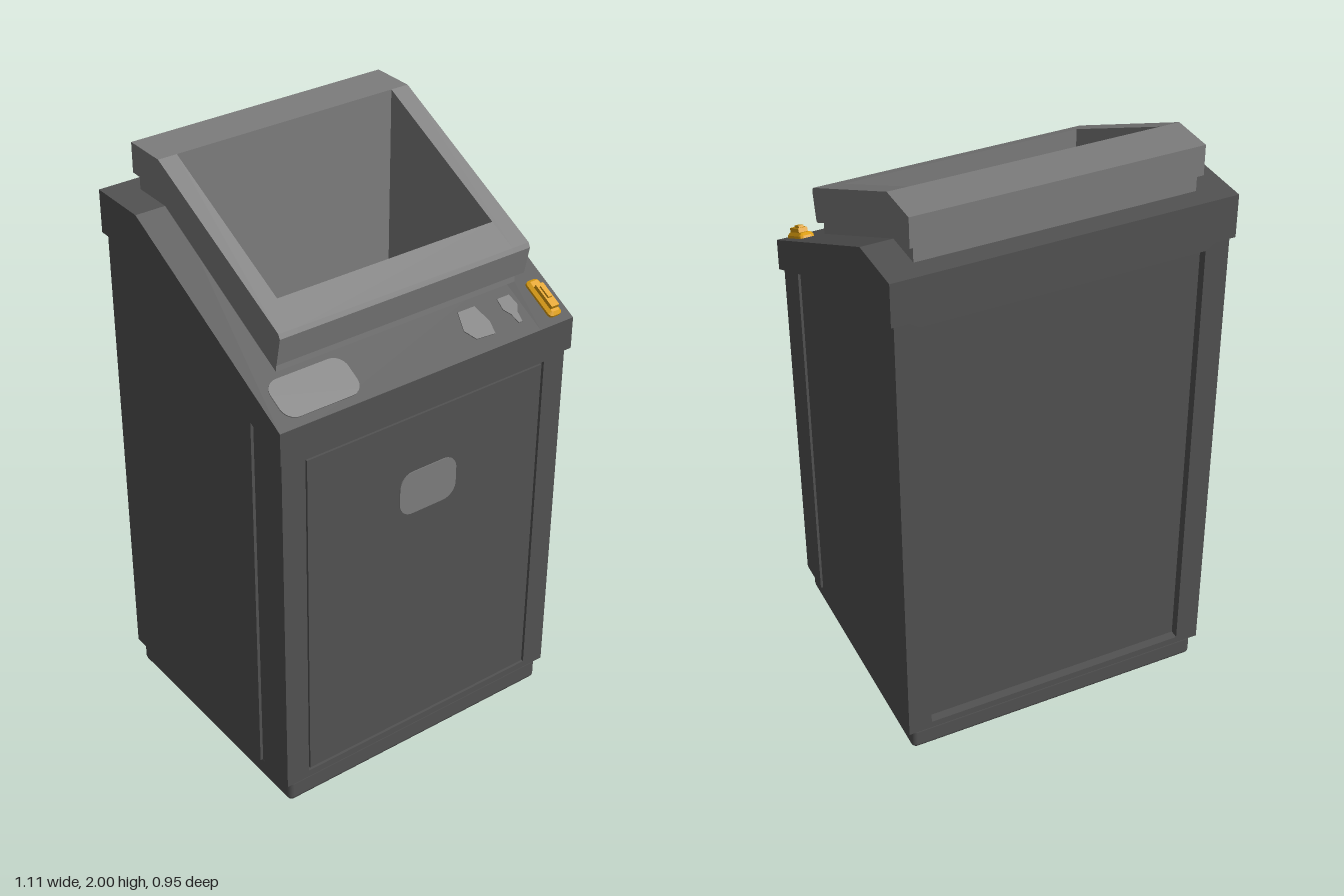
import * as THREE from 'three';
import { RoundedBoxGeometry } from 'three/addons/geometries/RoundedBoxGeometry.js';

const material = (name, color) => new THREE.MeshStandardMaterial({ name, color });

export function createModel() {
  const dark = material('dark grey', 0x525252);
  const light = material('light grey', 0x7d7d7d);
  const amber = material('amber', 0xe0a010);
  const model = new THREE.Group();
  model.name = 'wasteBin';

  const add = (name, geometry, mat, parent = model) => {
    const mesh = new THREE.Mesh(geometry, mat);
    mesh.name = name;
    parent.add(mesh);
    return mesh;
  };

  // Prism from a side profile of [z, y] points, spanning x0 to x1
  const prism = (points, x0, x1) => {
    const shape = new THREE.Shape(points.map(([z, y]) => new THREE.Vector2(-z, y)));
    const g = new THREE.ExtrudeGeometry(shape, { depth: x1 - x0, bevelEnabled: false });
    return g.rotateY(Math.PI / 2).translate(x0, 0, 0);
  };

  // Keep the part of a profile in front of (dir 1) or behind (dir -1) z = limit
  const clip = (points, limit, dir) => {
    const out = [];
    points.forEach((p, i) => {
      const q = points[(i + 1) % points.length];
      const a = (p[0] - limit) * dir, b = (q[0] - limit) * dir;
      if (a >= 0) out.push(p);
      if (a * b < 0) out.push([limit, p[1] + (q[1] - p[1]) * a / (a - b)]);
    });
    return out;
  };

  // Four walls sharing one side profile around a rectangular shaft
  const ring = (name, points, halfWidth, hole, mat) => {
    const group = new THREE.Group();
    group.name = name;
    model.add(group);
    add(name + 'Left', prism(points, hole.x, halfWidth), mat, group);
    add(name + 'Right', prism(points, -halfWidth, -hole.x), mat, group);
    add(name + 'Front', prism(clip(points, hole.front, 1), -hole.x, hole.x), mat, group);
    add(name + 'Back', prism(clip(points, hole.back, -1), -hole.x, hole.x), mat, group);
  };

  const opening = { x: 0.40, front: 0.25, back: -0.26 };
  const shaft = { x: 0.42, front: 0.27, back: -0.28 };
  const bend = -0.26;
  const bodyTop = z => 1.72 - Math.max(0, z - bend) * 0.476;

  // Upright profile from z0 (front) to z1 (back), cut off by the sloping top
  const upright = (z0, z1) => {
    const p = [[z1, 0.085], [z0, 0.085], [z0, bodyTop(z0)]];
    if (z1 < bend) p.push([bend, bodyTop(bend)]);
    p.push([z1, bodyTop(z1)]);
    return p;
  };

  // Flat frame facing z, with a rectangular cut-out
  const frame = (top, holeX, holeTop, z, depth) => {
    const rect = (target, x, y0, y1) => {
      target.moveTo(-x, y0).lineTo(x, y0).lineTo(x, y1).lineTo(-x, y1).closePath();
      return target;
    };
    const shape = rect(new THREE.Shape(), 0.54, 0.085, top);
    shape.holes.push(rect(new THREE.Path(), holeX, 0.11, holeTop));
    return new THREE.ExtrudeGeometry(shape, { depth, bevelEnabled: false }).translate(0, 0, z);
  };

  // Plinth and cabinet
  add('plinth', new RoundedBoxGeometry(1.05, 0.087, 0.9, 2, 0.018).translate(0, 0.0435, 0), dark);
  ring('cabinet', upright(0.45, -0.43), 0.53, shaft, dark);
  for (const [side, x] of [['left', 0.53], ['right', -0.54]]) {
    add(side + 'Panel', prism(upright(0.305, -0.43), x, x + 0.01), dark);
    add(side + 'DoorEdge', prism(upright(0.45, 0.33), x, x + 0.01), dark);
  }
  add('doorFrame', frame(1.38, 0.457, 1.327, 0.45, 0.01), dark);
  add('doorPanel', new THREE.BoxGeometry(0.898, 1.2, 0.008).translate(0, 0.718, 0.454), dark);
  add('backFrame', frame(1.72, 0.46, 1.67, -0.46, 0.03), dark);

  // Sloping lid
  ring('lid', [[-0.472, 1.70], [bend, 1.70], [0.475, 1.35], [0.475, 1.46],
    [bend, 1.845], [-0.472, 1.845]], 0.553, shaft, dark);

  // Chute: hood, recessed neck, deep liner and floor
  ring('hood', [[-0.412, 1.90], [bend, 1.90], [0.325, 1.582], [0.335, 1.585], [0.355, 1.68],
    [0.348, 1.695], [bend, 2.0], [-0.412, 2.0]], 0.465, opening, light);
  ring('neck', [[-0.40, 1.82], [bend, 1.82], [0.31, 1.52], [0.31, 1.61],
    [bend, 1.92], [-0.40, 1.92]], 0.45, opening, light);
  ring('liner', [[-0.28, 0.12], [0.27, 0.12], [0.27, 1.57], [bend, 1.85], [-0.28, 1.85]],
    shaft.x, opening, light);
  add('chuteFloor', new THREE.BoxGeometry(0.84, 0.03, 0.55).translate(0, 0.115, -0.005), dark);

  // Thin plates
  const plate = shape => new THREE.ExtrudeGeometry(shape, { depth: 0.003, bevelEnabled: false, curveSegments: 6 });
  const roundedRect = (x0, x1, y0, y1, r) => {
    const s = new THREE.Shape();
    s.absarc(x1 - r, y0 + r, r, -Math.PI / 2, 0);
    s.absarc(x1 - r, y1 - r, r, 0, Math.PI / 2);
    s.absarc(x0 + r, y1 - r, r, Math.PI / 2, Math.PI);
    s.absarc(x0 + r, y0 + r, r, Math.PI, Math.PI * 1.5);
    return s;
  };
  const polygon = points => new THREE.Shape(points.map(p => new THREE.Vector2(...p)));
  add('doorLabel', plate(roundedRect(-0.105, 0.115, 0.965, 1.12, 0.05)).translate(0, 0, 0.458), light);

  // Details lying on the slope in front of the hood
  const slope = new THREE.Group();
  slope.name = 'slopeDetails';
  slope.position.set(0, 1.46, 0.475);
  slope.rotation.x = Math.atan(0.385 / 0.735) - Math.PI / 2;
  model.add(slope);
  add('wideLabel', plate(roundedRect(-0.51, -0.235, 0.028, 0.165, 0.045)), light, slope);
  add('middleLabel', plate(polygon([[0.20, 0.05], [0.27, 0.045], [0.28, 0.09], [0.265, 0.155],
    [0.20, 0.155], [0.178, 0.09]])), light, slope);
  add('smallLabel', plate(polygon([[0.368, 0.05], [0.382, 0.05], [0.388, 0.085], [0.405, 0.11],
    [0.40, 0.15], [0.352, 0.15], [0.347, 0.11], [0.362, 0.085]])), light, slope);

  // Latch with a raised lever
  const latch = new THREE.ExtrudeGeometry(roundedRect(0.485, 0.515, 0.035, 0.157, 0.004), {
    depth: 0.008, bevelSize: 0.01, bevelThickness: 0.009, bevelSegments: 1, curveSegments: 1 });
  add('latchBase', latch, amber, slope);
  add('latchLever', new THREE.BoxGeometry(0.03, 0.09, 0.016).translate(0.5, 0.09, 0.023), amber, slope);
  add('latchGrip', new THREE.BoxGeometry(0.016, 0.045, 0.01).translate(0.5, 0.10, 0.033), amber, slope);
  return model;
}
